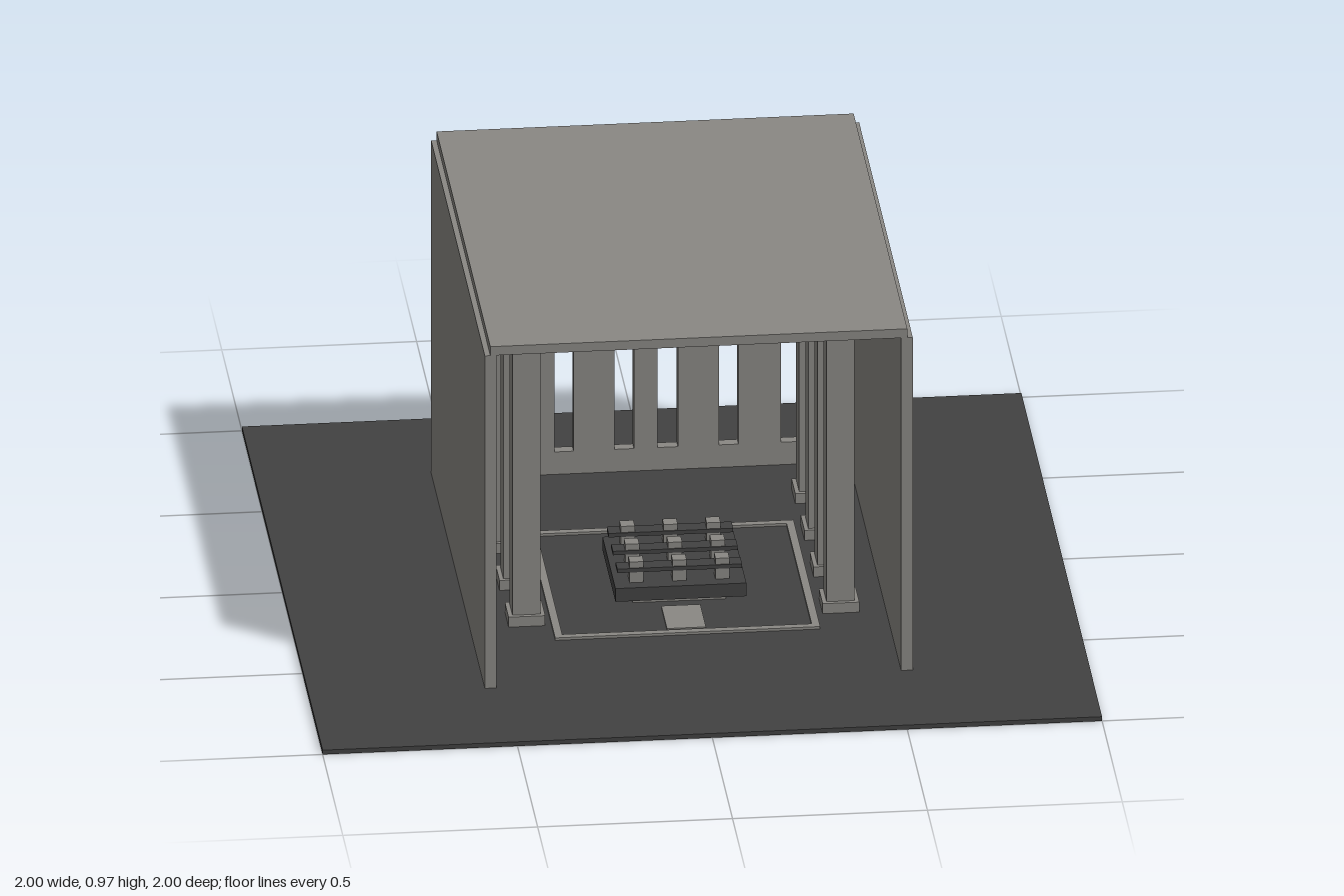
import * as THREE from 'three';

export function createModel() {
  const model = new THREE.Group();
  const stone = new THREE.MeshStandardMaterial({ name: 'grey stone', color: 0x8a8884 });
  const dark = new THREE.MeshStandardMaterial({ name: 'dark slate', color: 0x424242 });

  // Box given by its extents on each axis
  function box(name, mat, [x0, x1], [y0, y1], [z0, z1], parent = model) {
    const mesh = new THREE.Mesh(new THREE.BoxGeometry(x1 - x0, y1 - y0, z1 - z0), mat);
    mesh.position.set((x0 + x1) / 2, (y0 + y1) / 2, (z0 + z1) / 2);
    mesh.name = name;
    parent.add(mesh);
    return mesh;
  }
  const around = (c, half) => [c - half, c + half];
  const floor = 0.012;

  // Ground, side walls and roof
  box('ground', dark, [-1, 1], [0, floor], [-1, 1]);
  for (const s of [-1, 1]) {
    box(s > 0 ? 'leftWall' : 'rightWall', stone, around(s * 0.534, 0.015), [floor, 0.945], [-0.665, 0.665]);
  }
  box('roof', stone, [-0.535, 0.535], [0.945, 0.97], [-0.665, 0.665]);

  // Back wall with tall slot windows
  const wall = new THREE.Shape();
  wall.moveTo(-0.519, floor);
  wall.lineTo(0.519, floor);
  wall.lineTo(0.519, 0.945);
  wall.lineTo(-0.519, 0.945);
  wall.closePath();
  const slots = [[-0.445, -0.35], [-0.237, -0.188], [-0.083, -0.033], [0.027, 0.08], [0.185, 0.235], [0.345, 0.445]];
  for (const [a, b] of slots) {
    const hole = new THREE.Path();
    hole.moveTo(a, 0.075);
    hole.lineTo(a, 0.77);
    hole.lineTo(b, 0.77);
    hole.lineTo(b, 0.075);
    hole.closePath();
    wall.holes.push(hole);
  }
  const backWall = new THREE.Mesh(new THREE.ExtrudeGeometry(wall, { depth: 0.03, bevelEnabled: false }), stone);
  backWall.position.z = -0.655;
  backWall.name = 'backWall';
  model.add(backWall);

  // Two rows of columns joined by ceiling beams
  for (const z of [0.25, 0.023, -0.203, -0.43]) {
    box('ceilingBeam', stone, [-0.519, 0.519], [0.895, 0.945], around(z, 0.035));
    for (const s of [-1, 1]) {
      const column = new THREE.Group();
      column.name = 'column';
      box('columnBase', stone, around(s * 0.403, 0.047), [floor, 0.04], around(z, 0.047), column);
      box('columnShaft', stone, around(s * 0.403, 0.036), [0.04, 0.895], around(z, 0.036), column);
      model.add(column);
    }
  }

  // Low border around the floor area, with a step plate in front
  const cz = 0.06;
  for (const s of [-1, 1]) {
    box('borderSide', stone, around(s * 0.33, 0.01), [floor, 0.019], around(cz, 0.33));
    box('borderEnd', stone, [-0.32, 0.32], [floor, 0.019], around(cz + s * 0.32, 0.01));
  }
  box('stepPlate', stone, [-0.05, 0.05], [floor, 0.018], [0.22, 0.36]);

  // Raised platform with a grid of posts and cross rails
  const platform = new THREE.Group();
  platform.name = 'platform';
  box('pedestal', stone, [-0.12, 0.12], [floor, 0.035], around(cz, 0.12), platform);
  box('platformSlab', dark, [-0.168, 0.168], [0.035, 0.072], around(cz, 0.16), platform);
  for (const dz of [-0.11, 0, 0.11]) {
    box('rail', dark, [-0.16, 0.16], [0.102, 0.113], around(cz + dz, 0.021), platform);
    for (const x of [-0.11, 0, 0.11]) {
      box('post', stone, around(x, 0.018), [0.072, 0.13], around(cz + dz, 0.018), platform);
    }
  }
  model.add(platform);
  return model;
}
